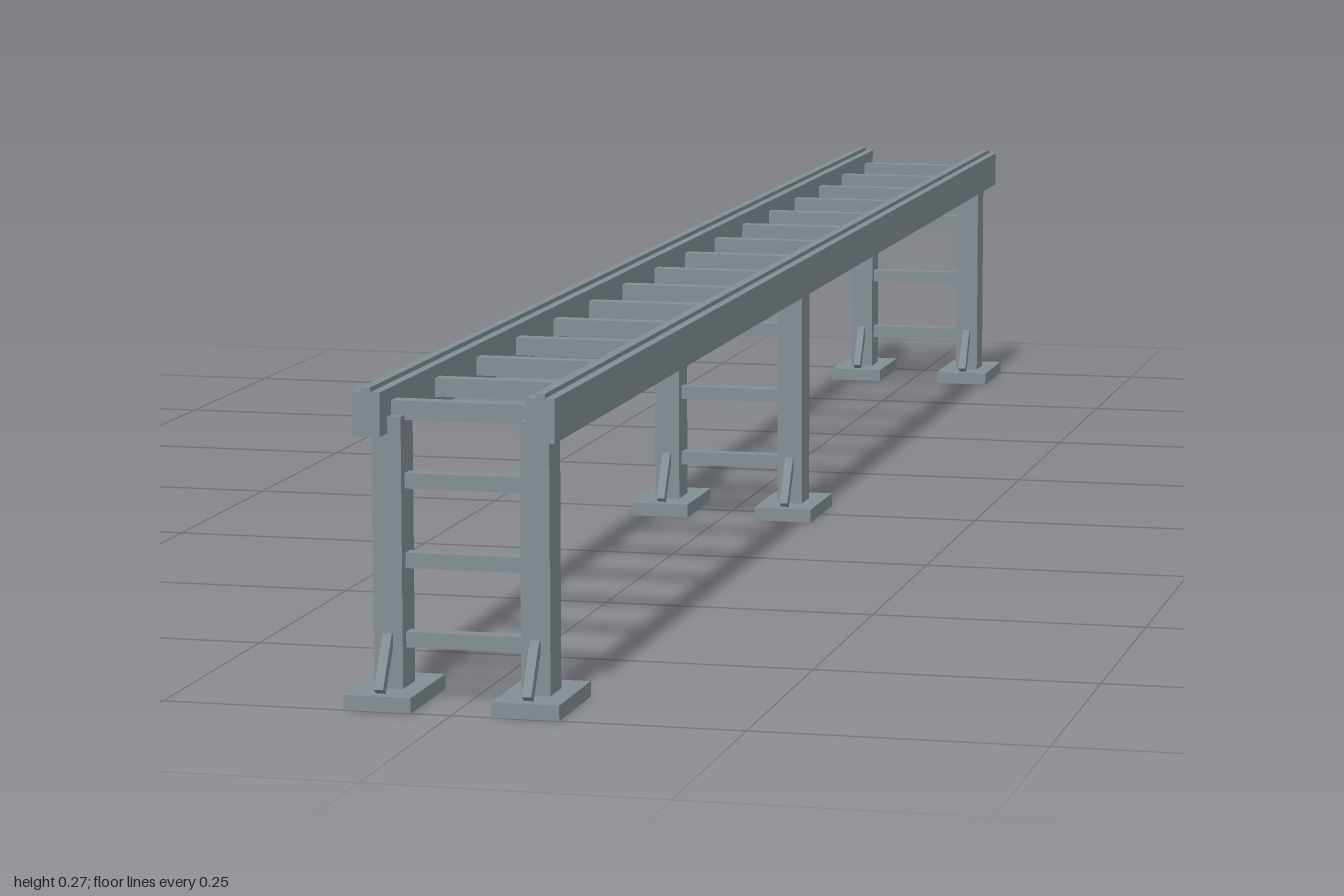
import * as THREE from 'three';

export function createModel() {
  const model = new THREE.Group();
  model.name = 'ladderRack';
  const steel = new THREE.MeshStandardMaterial({ color: 0x838f95 });
  steel.name = 'greySteel';

  // box given by its size and centre
  const box = (parent, name, size, pos) => {
    const mesh = new THREE.Mesh(new THREE.BoxGeometry(...size), steel);
    mesh.name = name;
    mesh.position.set(...pos);
    parent.add(mesh);
    return mesh;
  };

  // side rails: beam with a thin ridge along the top
  const profile = new THREE.Shape([
    [-0.012, 0.228], [0.012, 0.228], [0.012, 0.265], [0.004, 0.265],
    [0.004, 0.269], [-0.004, 0.269], [-0.004, 0.265], [-0.012, 0.265],
  ].map(([x, y]) => new THREE.Vector2(x, y)));
  const railGeometry = new THREE.ExtrudeGeometry(profile, { depth: 1.976, bevelEnabled: false });
  for (const side of [-1, 1]) {
    const rail = new THREE.Mesh(railGeometry, steel);
    rail.name = side > 0 ? 'leftRail' : 'rightRail';
    rail.position.set(side * 0.0745, 0, -0.988);
    model.add(rail);
  }

  // rungs between the rails
  for (let i = 0; i < 16; i++) {
    box(model, 'rung', [0.127, 0.016, 0.015], [0, 0.246, (i - 7.5) * 0.1265]);
  }

  // three supporting trestles
  for (const z of [-0.95, 0, 0.95]) {
    const trestle = new THREE.Group();
    trestle.name = 'trestle';
    trestle.position.z = z;
    model.add(trestle);
    for (const side of [-1, 1]) {
      const x = side * 0.0635;
      box(trestle, 'post', [0.025, 0.232, 0.034], [x, 0.126, 0]);
      box(trestle, 'footPlate', [0.058, 0.013, 0.1], [x, 0.0065, 0]);
      // sloping strut from the foot to the front of the post
      const strut = box(trestle, 'footBrace', [0.008, 0.05, 0.009], [x, 0.0365, 0.029]);
      strut.rotation.x = -0.55;
    }
    for (const y of [0.053, 0.12, 0.187]) {
      box(trestle, 'crossBar', [0.104, 0.013, 0.014], [0, y, 0]);
    }
  }
  return model;
}
